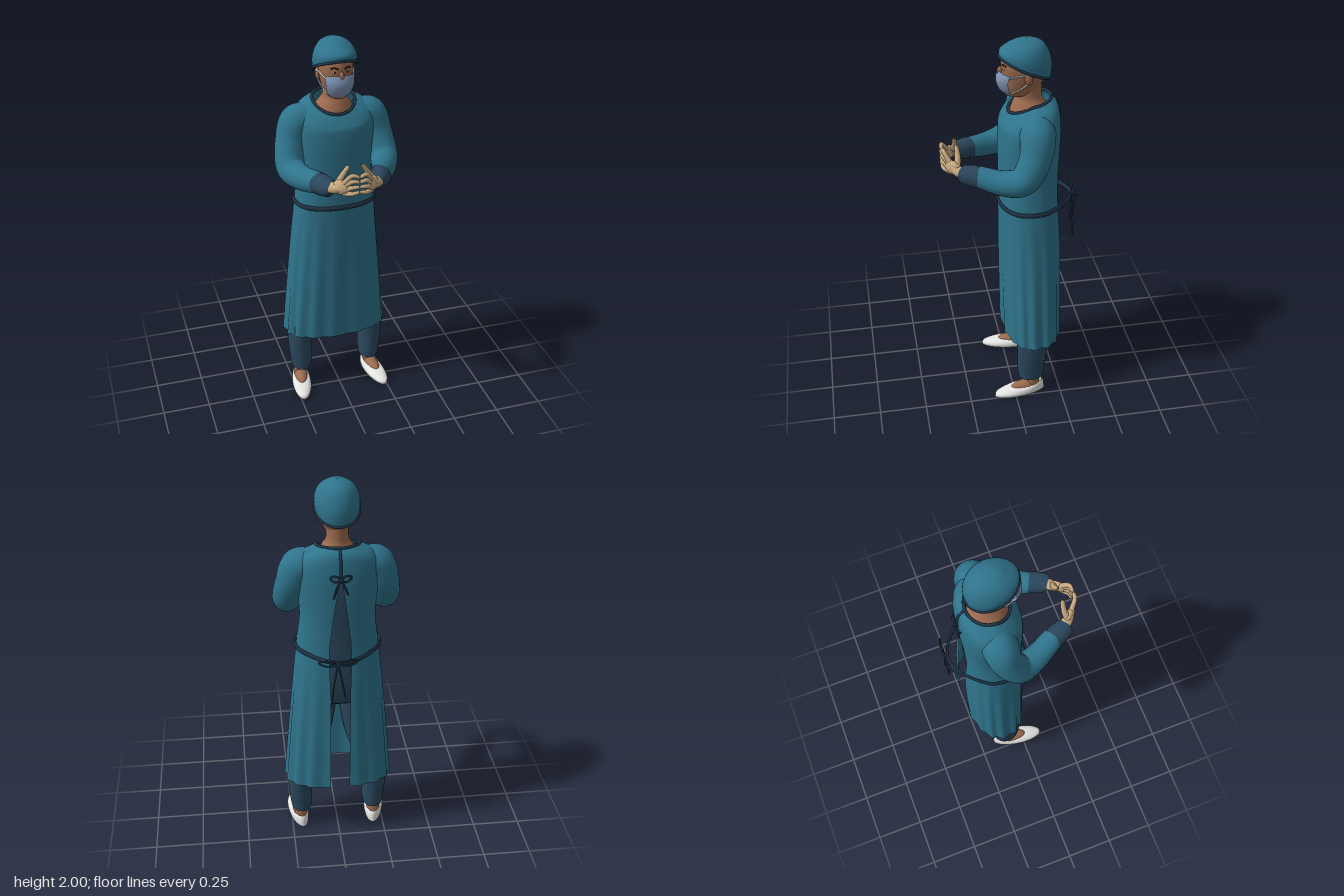
import * as THREE from 'three';
import { mergeVertices } from 'three/addons/utils/BufferGeometryUtils.js';

const mat = (name, color, side = THREE.DoubleSide) => {
  const m = new THREE.MeshStandardMaterial({ color, side });
  m.name = name;
  return m;
};
const TEAL = mat('gownTeal', 0x2f748c);
const NAVY = mat('scrubNavy', 0x2a465c);
const TRIM = mat('trimNavy', 0x1f3447);
const SKIN = mat('skin', 0x9c6b4e);
const GLOVE = mat('gloveTan', 0xc9ab82);
const MASK = mat('maskBlue', 0x7f93b3);
const WHITE = mat('shoeWhite', 0xe4e4e2);
const DARK = mat('browBrown', 0x2a1a14);

const V = (p) => new THREE.Vector3(...p);

// Catmull-Rom interpolation between cross-section rows
function smoothRows(rows, n) {
  const out = [];
  for (let i = 0; i < rows.length - 1; i++) {
    const [a, b, c, d] = [rows[Math.max(i - 1, 0)], rows[i], rows[i + 1], rows[Math.min(i + 2, rows.length - 1)]];
    for (let j = 0; j < n; j++) {
      const t = j / n;
      out.push(b.map((q, k) => q + 0.5 * t * (c[k] - a[k]
        + t * (2 * a[k] - 5 * q + 4 * c[k] - d[k] + t * (3 * (q - c[k]) + d[k] - a[k])))));
    }
  }
  out.push(rows[rows.length - 1]);
  return out;
}

// Loft of oval rings, top to bottom.
// Row: y, half width, z front, z back, back gap, front rise, back rise, ripple
function loft(list, { seg = 48, p = 1, start = null, sub = 4 } = {}) {
  const rows = smoothRows(list.map((r) => [...r, 0, 0, 0, 0].slice(0, 8)), sub);
  const pow = (v) => Math.sign(v) * Math.abs(v) ** p;
  const pos = [], idx = [];
  rows.forEach(([y, w, zf, zb, gap, riseF, riseB, ripple], r) => {
    const a0 = start ?? (gap > 0 ? Math.asin(Math.min(1, (gap / w) ** (1 / p))) : 0);
    for (let i = 0; i <= seg; i++) {
      const a = i === seg && a0 === 0 ? 0 : a0 + (2 * Math.PI - 2 * a0) * i / seg;
      const c = Math.cos(a), k = 1 + ripple * Math.sin(16 * a);
      pos.push(w * k * pow(Math.sin(a)), y + (c > 0 ? riseB * c : -riseF * c),
        (zf + zb) / 2 - k * (zf - zb) / 2 * pow(c));
      if (r && i) {
        const q = r * (seg + 1) + i, u = q - seg - 1;
        idx.push(u - 1, u, q - 1, u, q, q - 1);
      }
    }
  });
  let g = new THREE.BufferGeometry();
  g.setAttribute('position', new THREE.Float32BufferAttribute(pos, 3));
  g.setIndex(idx);
  g = mergeVertices(g, 1e-5);
  g.computeVertexNormals();
  return g;
}

// Tube whose radius follows one value per control point
function limb(points, radii, { seg = 24, sides = 14, closed = false } = {}) {
  const curve = new THREE.CatmullRomCurve3(points.map(V), closed);
  curve.getPointAt = curve.getPoint;
  curve.getTangentAt = curve.getTangent;
  const g = new THREE.TubeGeometry(curve, seg, 1, sides, closed);
  const at = g.attributes.position, v = new THREE.Vector3();
  for (let i = 0; i <= seg; i++) {
    const c = curve.getPoint(i / seg);
    const f = i / seg * (points.length - 1), k = Math.min(Math.floor(f), points.length - 2);
    const r = Array.isArray(radii) ? THREE.MathUtils.lerp(radii[k], radii[k + 1], f - k) : radii;
    for (let j = 0; j <= sides; j++) {
      const q = i * (sides + 1) + j;
      v.fromBufferAttribute(at, q).sub(c).multiplyScalar(r).add(c);
      at.setXYZ(q, v.x, v.y, v.z);
    }
  }
  return g;
}

export function createModel() {
  const model = new THREE.Group();
  model.name = 'surgeon';
  const add = (name, geo, material, parent = model) => {
    const m = new THREE.Mesh(geo, material);
    m.name = name;
    parent.add(m);
    return m;
  };
  const ball = (name, material, at, size, parent = model) => {
    const m = add(name, new THREE.SphereGeometry(1, 20, 14), material, parent);
    m.position.set(...at);
    m.scale.set(...size);
    return m;
  };

  // Gown, open down the back, with folds toward the hem
  add('gown', loft([
    [1.685, 0.108, 0.0, -0.21, 0.003, -0.055, 0.015],
    [1.675, 0.135, 0.012, -0.232, 0.003, -0.06, 0.005],
    [1.655, 0.17, 0.022, -0.244, 0.003, -0.055, 0],
    [1.615, 0.2, 0.034, -0.25, 0.003, -0.035, 0],
    [1.55, 0.208, 0.046, -0.255, 0.006, 0, 0],
    [1.45, 0.2, 0.052, -0.255, 0.02],
    [1.3, 0.19, 0.05, -0.25, 0.04],
    [1.14, 0.208, 0.05, -0.25, 0.055],
    [0.9, 0.232, 0.048, -0.265, 0.05, 0, 0, 0.01],
    [0.6, 0.258, 0.043, -0.27, 0.05, 0, 0, 0.018],
    [0.335, 0.28, 0.037, -0.27, 0.05, 0, 0, 0.024],
  ], { seg: 160, p: 0.85 }), TEAL);

  // Neck binding and back seam
  const ring = [];
  for (let i = 0; i < 24; i++) {
    const a = i / 24 * Math.PI * 2, c = Math.cos(a);
    ring.push([0.108 * Math.sin(a), 1.686 + (c > 0 ? 0.015 : 0.055) * c, -0.105 - 0.106 * c]);
  }
  add('neckBinding', limb(ring, 0.008, { seg: 72, sides: 8, closed: true }), TRIM);
  add('backSeamTape', limb([[0, 1.7, -0.212], [0, 1.65, -0.247], [0, 1.56, -0.258]], 0.007), TRIM);

  // Waist belt, pulled away from the body at the back
  const belt = [[0, 0, -0.325], [0.09, 0, -0.29]];
  for (let d = 62; d <= 298; d += 14.75) {
    const a = d * Math.PI / 180, f = (v) => Math.sign(v) * Math.abs(v) ** 0.85;
    belt.push([0.214 * f(Math.sin(a)), 0, -0.1 - 0.157 * f(Math.cos(a))]);
  }
  belt.push([-0.09, 0, -0.29]);
  const beltGeo = limb(belt, 0.007, { seg: 100, sides: 8, closed: true });
  beltGeo.scale(1, 1.9, 1);
  add('waistBelt', beltGeo, TRIM).position.y = 1.14;

  // Tied bows: two loops, a knot and two hanging ends
  const bow = (name, x, y, z, size, tail) => {
    const g = new THREE.Group();
    g.name = name;
    g.position.set(x, y, z);
    model.add(g);
    ball('knot', TRIM, [0, 0, 0], [0.012, 0.012, 0.009], g);
    for (const s of [-1, 1]) {
      add('bowLoop', limb([[0, 0, 0], [s * size * 0.6, 0.022, -0.004], [s * size, 0.008, 0.008],
        [s * size * 0.6, -0.012, 0.004]], 0.005, { seg: 32, sides: 6, closed: true }), TRIM, g);
      add('bowEnd', limb([[0, 0, 0], [s * 0.018, -tail * 0.4, 0], [s * 0.035, -tail * (s > 0 ? 1 : 0.8), 0.002]],
        0.005, { sides: 6 }), TRIM, g);
    }
  };
  bow('waistBow', 0.02, 1.14, -0.335, 0.095, 0.24);
  bow('neckBow', 0, 1.56, -0.264, 0.05, 0.1);

  // Scrubs under the gown
  add('scrubTop', loft([
    [1.6, 0.13, -0.02, -0.215], [1.5, 0.17, 0.02, -0.235], [1.3, 0.165, 0.025, -0.23],
    [1.14, 0.17, 0.025, -0.23], [0.95, 0.18, 0.02, -0.235], [0.83, 0.16, 0, -0.21], [0.78, 0.002, -0.099, -0.101],
  ], { p: 0.9 }), NAVY);

  // Neck and head
  add('neck', loft([
    [1.79, 0.055, -0.03, -0.165], [1.71, 0.056, -0.035, -0.165], [1.675, 0.075, -0.022, -0.18],
    [1.64, 0.098, -0.008, -0.2, 0, -0.01, 0], [1.58, 0.11, -0.005, -0.2],
  ]), SKIN);
  add('head', loft([
    [1.96, 0.03, -0.04, -0.12], [1.93, 0.075, 0.02, -0.18], [1.88, 0.086, 0.037, -0.192],
    [1.83, 0.083, 0.035, -0.188], [1.79, 0.075, 0.035, -0.175], [1.75, 0.063, 0.031, -0.145],
    [1.72, 0.046, 0.018, -0.11], [1.705, 0.002, -0.03, -0.034],
  ]), SKIN);
  ball('nose', SKIN, [0, 1.838, 0.04], [0.013, 0.028, 0.016]);

  // Surgical cap with bound rim
  add('cap', loft([
    [2.0, 0.001, -0.085, -0.087], [1.995, 0.036, -0.04, -0.13], [1.975, 0.073, 0.0, -0.17],
    [1.945, 0.096, 0.03, -0.198, 0, 0.012, -0.015], [1.905, 0.109, 0.046, -0.212, 0, 0.035, -0.04],
    [1.86, 0.108, 0.045, -0.205, 0, 0.055, -0.06],
  ]), TEAL);
  const rim = [];
  for (let i = 0; i < 20; i++) {
    const a = i / 20 * Math.PI * 2, c = Math.cos(a);
    rim.push([0.108 * Math.sin(a), 1.861 - 0.058 * c, -0.08 - 0.125 * c]);
  }
  add('capRim', limb(rim, 0.007, { seg: 60, sides: 8, closed: true }), TRIM);

  // Face mask
  add('faceMask', loft([
    [1.836, 0.08, 0.048, -0.1, 0, 0.012], [1.815, 0.081, 0.06, -0.1], [1.785, 0.077, 0.06, -0.1],
    [1.75, 0.067, 0.046, -0.1], [1.727, 0.05, 0.022, -0.09],
  ], { start: Math.PI - 1.15, seg: 28 }), MASK);

  for (const s of [-1, 1]) {
    const X = (pts) => pts.map(([x, y, z]) => [s * x, y, z]);

    // Eyes, brows, ears and mask straps
    ball('eyeWhite', WHITE, [s * 0.032, 1.861, 0.0285], [0.011, 0.0055, 0.004]);
    ball('iris', DARK, [s * 0.032, 1.861, 0.0315], [0.005, 0.005, 0.003]);
    add('eyebrow', limb(X([[0.014, 1.877, 0.036], [0.032, 1.884, 0.031], [0.05, 1.878, 0.018]]), 0.0035, { sides: 6 }), DARK);
    ball('ear', SKIN, [s * 0.086, 1.825, -0.085], [0.012, 0.032, 0.02]);
    add('maskStrap', limb(X([[0.072, 1.828, 0.008], [0.085, 1.842, -0.045], [0.093, 1.845, -0.085]]), 0.004, { sides: 6 }), WHITE);
    add('maskStrap', limb(X([[0.058, 1.742, -0.002], [0.076, 1.77, -0.045], [0.09, 1.81, -0.09]]), 0.004, { sides: 6 }), WHITE);

    // Sleeve and cuff
    add('sleeve', limb(X([[0.11, 1.58, -0.11], [0.185, 1.575, -0.11], [0.225, 1.48, -0.095], [0.246, 1.365, -0.03],
      [0.215, 1.345, 0.06], [0.155, 1.36, 0.175]]), [0.07, 0.09, 0.08, 0.073, 0.064, 0.054], { seg: 48, sides: 24 }), TEAL);
    add('cuff', limb(X([[0.172, 1.356, 0.145], [0.148, 1.362, 0.2], [0.125, 1.365, 0.25], [0.118, 1.366, 0.262]]),
      [0.05, 0.055, 0.046, 0.025], { seg: 18, sides: 20 }), NAVY);

    // Gloved hand with fingertips meeting in front
    const hand = new THREE.Group();
    hand.name = s > 0 ? 'leftHand' : 'rightHand';
    model.add(hand);
    add('wrist', limb(X([[0.13, 1.365, 0.235], [0.105, 1.37, 0.265], [0.08, 1.38, 0.29]]), [0.03, 0.028, 0.025]), GLOVE, hand);
    ball('palm', GLOVE, [s * 0.08, 1.382, 0.292], [0.045, 0.038, 0.02], hand).rotation.y = s * Math.PI / 4;
    for (let i = 0; i < 4; i++) {
      add('finger', limb(X([[0.07, 1.405 - i * 0.017, 0.302], [0.034, 1.455 - i * 0.032, 0.332],
        [0.006, 1.446 - i * 0.027, 0.336], [0.001, 1.444 - i * 0.027, 0.335]]), [0.014, 0.011, 0.009, 0.002], { sides: 10 }), GLOVE, hand);
    }
    add('thumb', limb(X([[0.095, 1.385, 0.275], [0.068, 1.425, 0.264], [0.037, 1.472, 0.266], [0.032, 1.48, 0.267]]),
      [0.02, 0.015, 0.011, 0.002], { sides: 10 }), GLOVE, hand);

    // Trouser leg
    const leg = limb(X([[0.09, 0.92, 0], [0.125, 0.62, 0], [0.2, 0.33, 0], [0.198, 0.13, 0.005], [0.198, 0.097, 0.005]]),
      [0.1, 0.09, 0.068, 0.058, 0.052], { seg: 40, sides: 24 });
    leg.scale(1, 1, 1.25);
    add('trouserLeg', leg, NAVY).position.z = -0.097;

    // Foot and slip-on shoe, toes turned slightly out
    const foot = new THREE.Group();
    foot.name = s > 0 ? 'leftFoot' : 'rightFoot';
    foot.position.set(s * 0.215, 0, -0.02);
    foot.rotation.y = s * 0.15;
    model.add(foot);
    add('ankle', limb([[0, 0.16, -0.08], [0, 0.09, -0.082], [0, 0.03, -0.085]], [0.036, 0.034, 0.036]), SKIN, foot);
    ball('instep', SKIN, [0, 0.032, -0.04], [0.036, 0.036, 0.085], foot);
    add('shoe', loft([
      [0.046, 0.036, 0.03, -0.135, 0, -0.002, 0.016], [0.036, 0.046, 0.085, -0.143, 0, 0, 0.01],
      [0.02, 0.052, 0.13, -0.147], [0.006, 0.05, 0.134, -0.146], [0.0, 0.044, 0.125, -0.14], [0.0, 0.001, 0, -0.002],
    ], { sub: 3 }), WHITE, foot);
  }
  return model;
}
